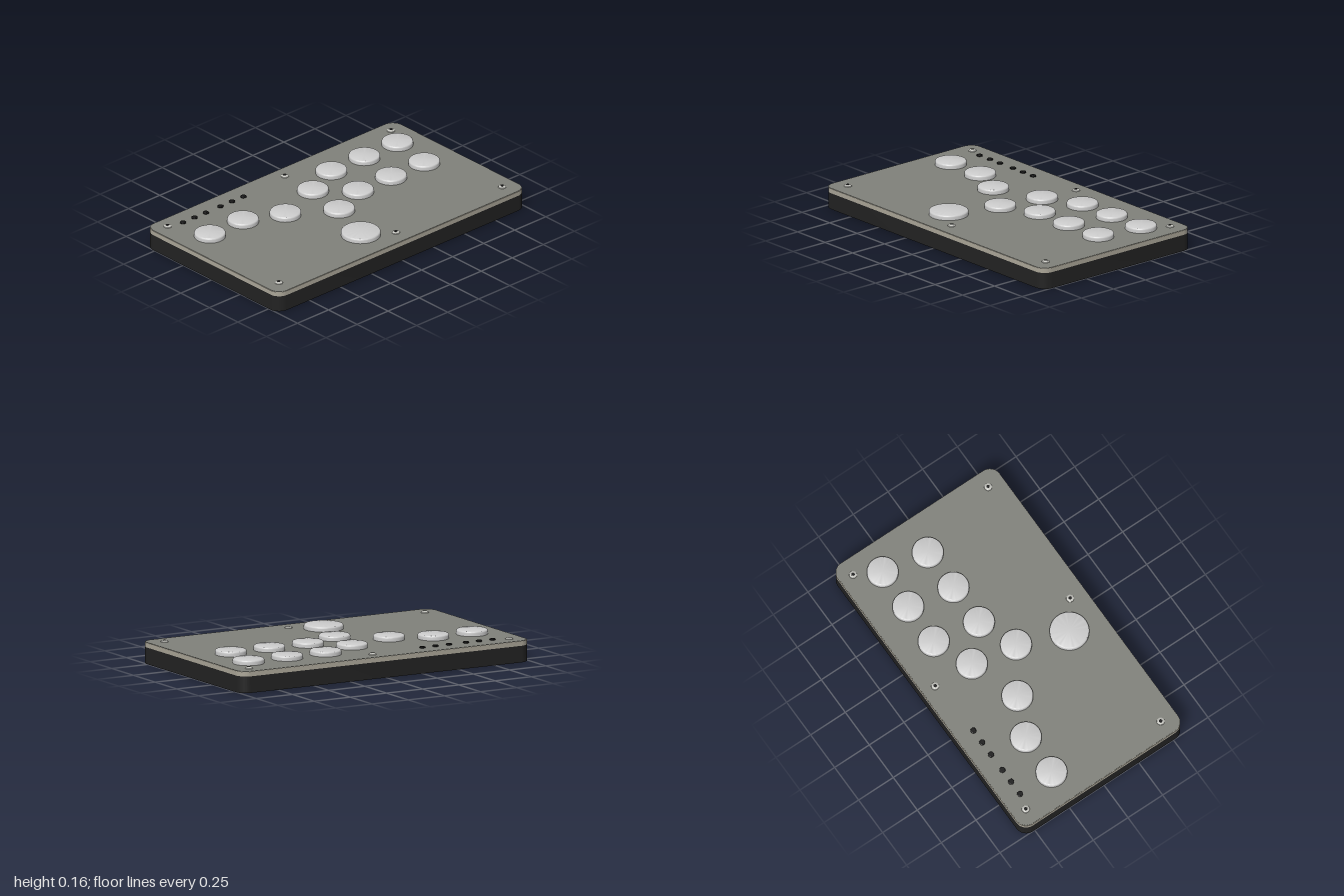
import * as THREE from 'three';
import { toCreasedNormals } from 'three/addons/utils/BufferGeometryUtils.js';

const mat = (name, color) => {
  const m = new THREE.MeshStandardMaterial({ color });
  m.name = name;
  return m;
};

// Rounded rectangle slab lying flat, from y0 to y1
function slab(halfX, halfZ, r, y0, y1) {
  const s = new THREE.Shape();
  s.absarc(halfX - r, halfZ - r, r, 0, Math.PI / 2);
  s.absarc(-halfX + r, halfZ - r, r, Math.PI / 2, Math.PI);
  s.absarc(-halfX + r, -halfZ + r, r, Math.PI, Math.PI * 1.5);
  s.absarc(halfX - r, -halfZ + r, r, Math.PI * 1.5, Math.PI * 2);
  s.closePath();
  const g = new THREE.ExtrudeGeometry(s, { depth: y1 - y0, bevelEnabled: false, curveSegments: 12 });
  g.rotateX(-Math.PI / 2).translate(0, y0, 0);
  return toCreasedNormals(g, 0.6);
}

// Turned solid from [radius, height] pairs, bottom to top
const turned = (points, sides) => toCreasedNormals(
  new THREE.LatheGeometry(points.map(([r, y]) => new THREE.Vector2(r, y)), sides), 0.6);

// Push button with a softly rounded top edge
function buttonGeometry(r) {
  const pts = [[r, 0], [r, 0.019]];
  for (let i = 1; i <= 5; i++) {
    const a = (i / 5) * Math.PI / 2;
    pts.push([r - 0.011 * (1 - Math.cos(a)), 0.019 + 0.011 * Math.sin(a)]);
  }
  pts.push([0, 0.03]);
  return turned(pts, 48);
}

export function createModel() {
  const group = new THREE.Group();
  const black = mat('black casing', 0x222222);
  const beige = mat('warm grey plate', 0xaba698);
  const olive = mat('dark grey panel', 0x80817a);
  const white = mat('pale grey button', 0xcccccc);
  const steel = mat('screw metal', 0xc4c4be);
  const jet = mat('jet black', 0x151515);

  const add = (name, geometry, material, x = 0, y = 0, z = 0) => {
    const mesh = new THREE.Mesh(geometry, material);
    mesh.name = name;
    mesh.position.set(x, y, z);
    group.add(mesh);
  };

  // Casing, top plate and its thin cover panel
  const top = 0.13;
  add('casing', slab(1, 0.583, 0.07, 0, 0.1), black);
  add('topPlate', slab(1, 0.583, 0.07, 0.1, top - 0.002), beige);
  add('coverPanel', slab(0.997, 0.58, 0.067, top - 0.002, top), olive);

  // Play buttons
  const small = buttonGeometry(0.094);
  const spots = [
    [-0.797, -0.238], [-0.53, -0.238], [-0.287, -0.131], [0.033, -0.238], [-0.017, 0.046],
    [0.278, -0.343], [0.544, -0.343], [0.81, -0.343],
    [0.226, -0.053], [0.492, -0.053], [0.759, -0.053],
  ];
  for (const [x, z] of spots) add('button', small, white, x, top, z);
  add('largeButton', buttonGeometry(0.118), white, -0.127, top, 0.355);

  // Row of small function buttons along the back
  const tiny = turned([[0.018, 0], [0.018, 0.006], [0.014, 0.009], [0, 0.009]], 20);
  for (const x of [-0.802, -0.709, -0.618, -0.5, -0.407, -0.316])
    add('functionButton', tiny, jet, x, top, -0.468);

  // Domed screws with hexagonal sockets
  const head = turned([[0.024, 0], [0.023, 0.004], [0.018, 0.008], [0.011, 0.01], [0, 0.01]], 24);
  const socket = new THREE.CylinderGeometry(0.011, 0.011, 0.002, 6);
  for (const x of [-0.9, 0.043, 0.898]) for (const z of [-0.495, 0.478]) {
    add('screwHead', head, steel, x, top, z);
    add('screwSocket', socket, jet, x, top + 0.0098, z);
  }
  return group;
}
